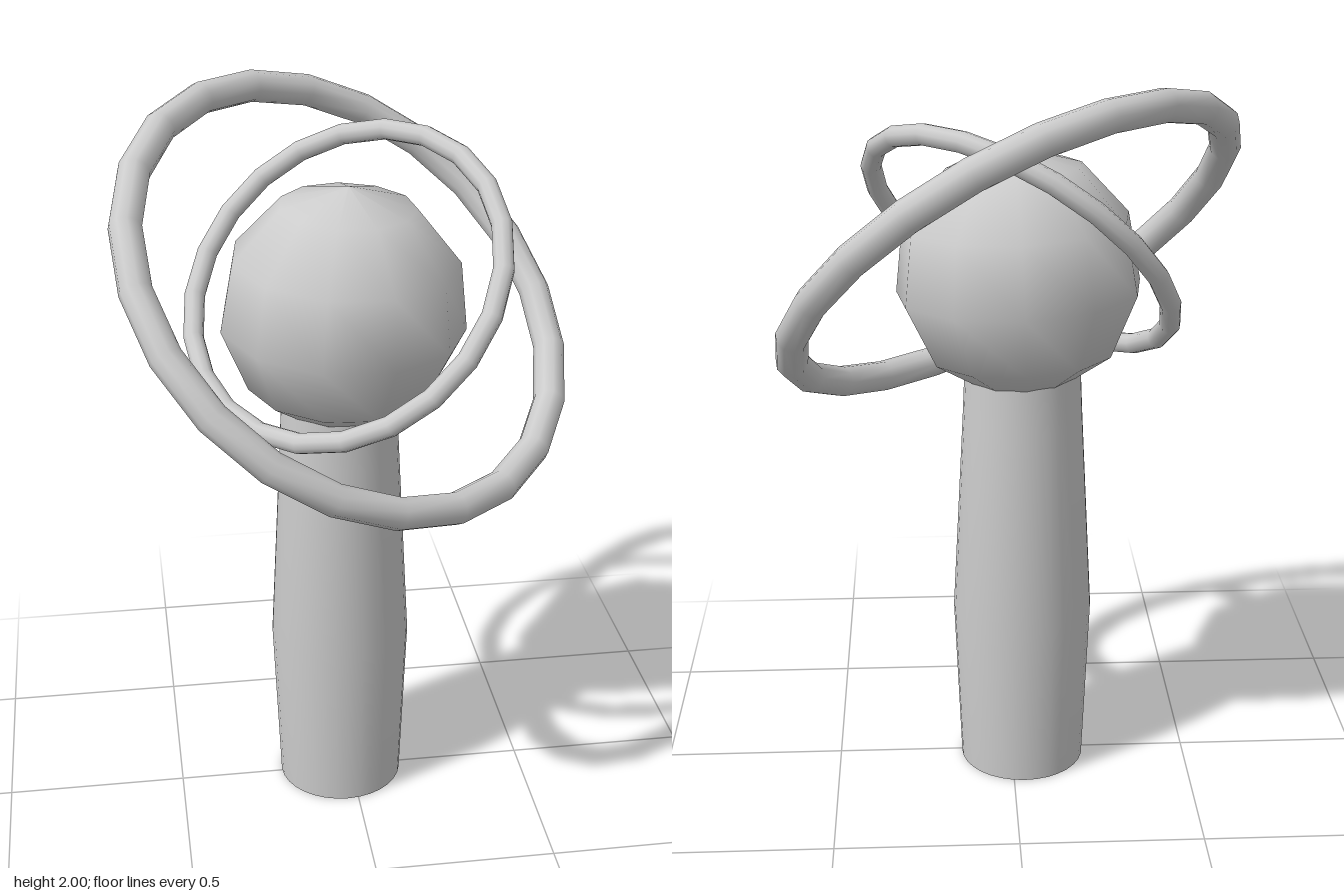
import * as THREE from 'three';
import { toCreasedNormals } from 'three/addons/utils/BufferGeometryUtils.js';

const material = new THREE.MeshStandardMaterial({ color: 0xcccccc });

function addPart(group, name, geometry, x, y, z) {
  const mesh = new THREE.Mesh(geometry, material);
  mesh.name = name;
  mesh.position.set(x, y, z);
  group.add(mesh);
  return mesh;
}

// Coarse torus whose axis points along the given direction
function addRing(group, name, radius, tube, center, axis) {
  const ring = addPart(group, name, new THREE.TorusGeometry(radius, tube, 10, 22), ...center);
  ring.quaternion.setFromUnitVectors(new THREE.Vector3(0, 0, 1), new THREE.Vector3(...axis).normalize());
}

export function createModel() {
  const group = new THREE.Group();

  // Gently bulging handle with a flat base
  const profile = [[0, 0], [0.175, 0], [0.194, 0.48], [0.164, 1.05], [0.155, 1.25], [0, 1.25]]
    .map(([r, y]) => new THREE.Vector2(r, y));
  const handle = toCreasedNormals(new THREE.LatheGeometry(profile, 32), 0.6);
  addPart(group, 'handle', handle, -0.03, 0, -0.008);

  // Eleven-sided orb, slightly tilted, resting on the handle
  const step = (Math.PI * 2) / 11;
  const arc = [new THREE.Vector2(0, -0.321)];
  for (let i = 5; i >= 0; i--) {
    arc.push(new THREE.Vector2(0.335 * Math.sin(i * step), 0.335 * Math.cos(i * step)));
  }
  const orb = addPart(group, 'orb', new THREE.LatheGeometry(arc, 11, Math.PI), -0.018, 1.457, -0.012);
  orb.rotation.set(0.04, 0, -0.04);

  // Two crossed rings around the orb
  addRing(group, 'outerRing', 0.648, 0.043, [0, 1.507, 0], [0.44, 0.717, 0.54]);
  addRing(group, 'innerRing', 0.452, 0.028, [-0.02, 1.53, 0], [-0.507, 0.669, 0.544]);

  return group;
}
